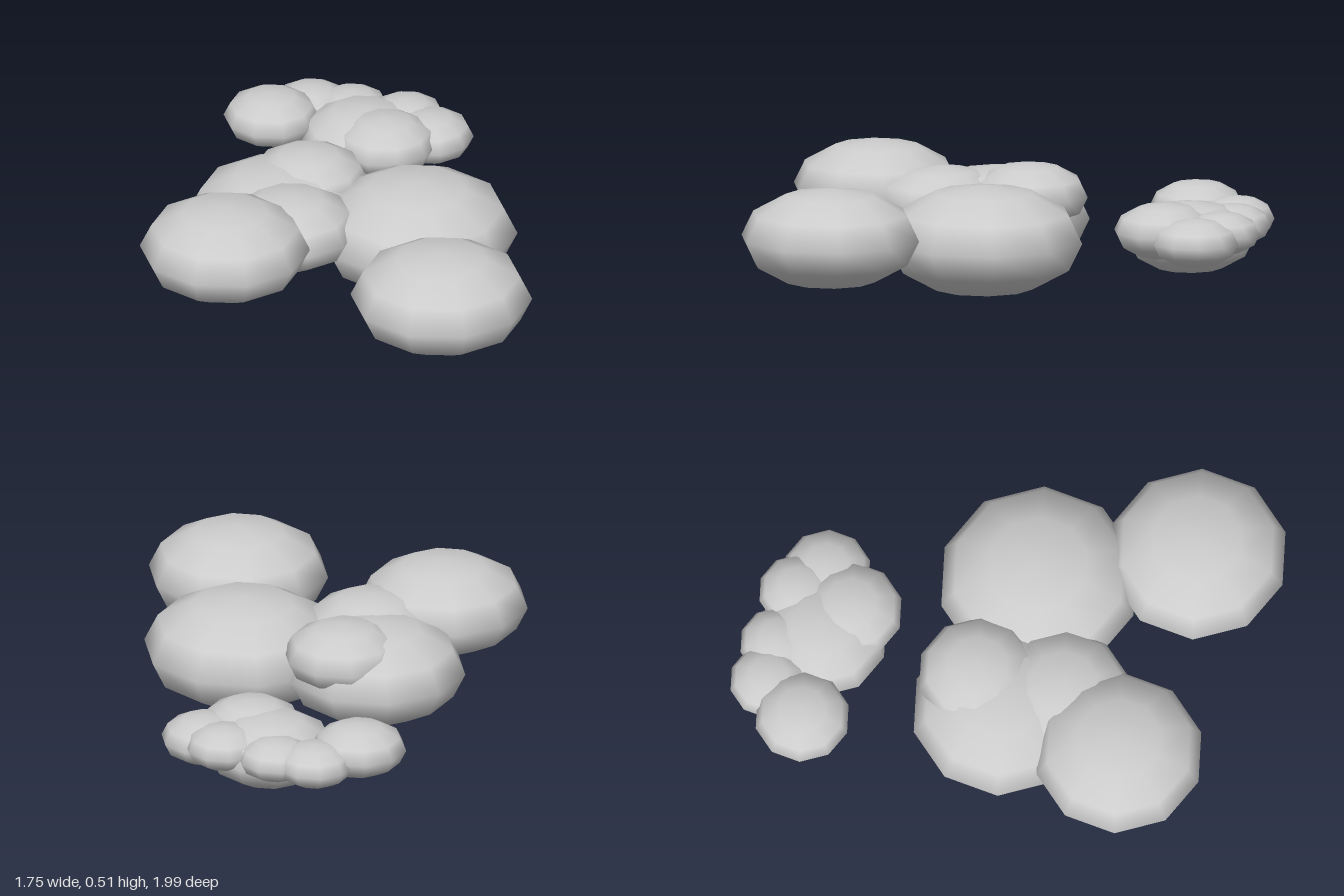
import * as THREE from 'three';

export function createModel() {
  const model = new THREE.Group();
  const cloudGrey = new THREE.MeshStandardMaterial({ color: 0xcccccc });
  cloudGrey.name = 'cloudGrey';

  // One low-poly ball shared by every puff, turned so its corners point along z
  const ball = new THREE.SphereGeometry(1, 10, 6);
  ball.rotateY(Math.PI / 2);
  const flatten = 0.55;

  // Each puff: name, x, y, z, radius
  const clouds = {
    largeCloud: [
      ['mainPuff', 0.2, 0.23, 0.06, 0.41],
      ['frontLeftPuff', 0.525, 0.273, 0.623, 0.369],
      ['frontRightPuff', -0.408, 0.325, 0.64, 0.346],
      ['rightPuff', -0.37, 0.23, 0.12, 0.372],
      ['middlePuff', -0.24, 0.298, 0.335, 0.275],
      ['topPuff', -0.298, 0.33, -0.015, 0.245],
    ],
    smallCloud: [
      ['corePuff', -0.315, 0.183, -0.68, 0.265],
      ['frontPuff', -0.19, 0.225, -0.605, 0.21],
      ['rightPuff', -0.693, 0.24, -0.625, 0.195],
      ['backRightPuff', -0.59, 0.22, -0.81, 0.16],
      ['backMiddlePuff', -0.425, 0.22, -0.835, 0.155],
      ['backLeftPuff', -0.19, 0.225, -0.838, 0.16],
      ['leftPuff', -0.06, 0.206, -0.76, 0.18],
    ],
  };

  for (const [cloudName, puffs] of Object.entries(clouds)) {
    const cloud = new THREE.Group();
    cloud.name = cloudName;
    for (const [name, x, y, z, r] of puffs) {
      const puff = new THREE.Mesh(ball, cloudGrey);
      puff.name = name;
      puff.position.set(x, y, z);
      puff.scale.set(r, r * flatten, r);
      cloud.add(puff);
    }
    model.add(cloud);
  }
  return model;
}
